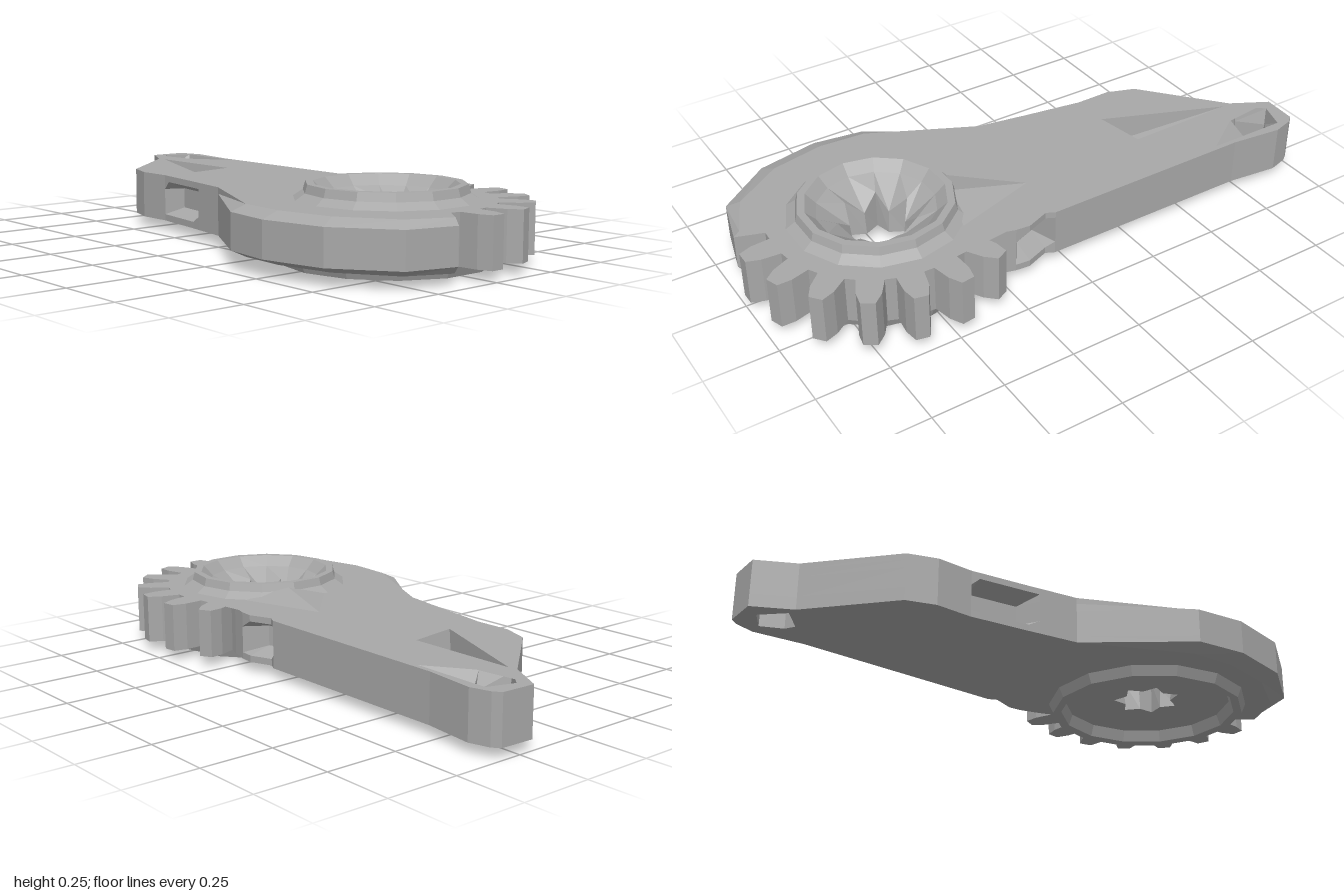
import * as THREE from 'three';

const HUB = [0.52, -0.01];
const LOW = 0.035, HIGH = 0.2;

// Flat facets: unshared vertices with one normal per face
function faceted(geo) {
  const g = geo.index ? geo.toNonIndexed() : geo;
  g.computeVertexNormals();
  return g;
}

// Triangles given as corner triples
function facets(corners) {
  const g = new THREE.BufferGeometry();
  g.setAttribute('position', new THREE.Float32BufferAttribute(corners.flat(), 3));
  return faceted(g);
}

// Closed wall through rings of [x, y, z], listed from low to high
function loft(rings) {
  const out = [];
  for (let k = 0; k + 1 < rings.length; k++) {
    const a = rings[k], b = rings[k + 1];
    a.forEach((p, i) => {
      const j = (i + 1) % a.length;
      out.push(p, b[i], a[j], a[j], b[i], b[j]);
    });
  }
  return facets(out);
}

// Horizontal face with holes, facing up or down
function cap(loop, holes, y, up) {
  const s = up ? -1 : 1;
  const pts = (l) => l.map((p) => new THREE.Vector2(p[0], s * p[1]));
  const shape = new THREE.Shape(pts(loop));
  holes.forEach((h) => shape.holes.push(new THREE.Path(pts(h))));
  const g = new THREE.ShapeGeometry(shape);
  g.rotateX(s * Math.PI / 2);
  g.translate(0, y, 0);
  return faceted(g);
}

const circle = (r, n = 16) => Array.from({ length: n }, (_, i) => {
  const a = (i / n) * Math.PI * 2;
  return [HUB[0] + r * Math.sin(a), HUB[1] + r * Math.cos(a)];
});
const at = (loop, y) => loop.map((p) => [p[0], y, p[1]]);

// Outline seen from above: [x, z, edge chamfer, side notch depth]
function outline() {
  const pts = [
    [-1, -0.2], [-0.995, -0.32], [-0.97, -0.34], [-0.9, -0.36], [-0.72, -0.34], [0.04, -0.34],
    [0.07, -0.325, 0, 0.08], [0.15, -0.355, 0, 0.08], [0.2, -0.35], [0.27, -0.33],
  ];
  // seven gear teeth
  for (let i = 0; i < 7; i++) {
    const mid = 117 - 19.5 * i;
    for (const [da, r] of [[7, 0.365], [5.3, 0.43], [2.8, 0.475], [-2.8, 0.475], [-5.3, 0.43], [-7, 0.365]]) {
      const a = THREE.MathUtils.degToRad(mid + da);
      pts.push([HUB[0] + r * Math.cos(a), HUB[1] - r * Math.sin(a)]);
    }
  }
  pts.push(
    [0.88, 0.07], [0.965, 0.13, 0.02], [0.92, 0.3, 0.05], [0.73, 0.44, 0.06], [0.51, 0.485, 0.06],
    [0.33, 0.46, 0.05], [-0.02, 0.235], [-0.16, 0.212], [-0.2, 0.205, 0, -0.07], [-0.38, 0.178, 0, -0.07],
    [-0.41, 0.173], [-0.54, 0.175], [-0.64, 0.14], [-0.87, -0.13],
  );
  return pts;
}

export function createModel() {
  const group = new THREE.Group();
  const metal = new THREE.MeshStandardMaterial({ color: 0xa8a8a8, side: THREE.DoubleSide });
  metal.name = 'grey metal';
  const add = (name, geo) => {
    const m = new THREE.Mesh(geo, metal);
    m.name = name;
    group.add(m);
    return m;
  };

  // Arm plate: chamfered edge rings and notched side rings
  const pts = outline();
  const edge = pts.map(([x, z, c = 0]) => {
    const dx = HUB[0] - x, dz = HUB[1] - z, d = Math.hypot(dx, dz);
    return [x + dx / d * c, z + dz / d * c];
  });
  const side = pts.map(([x, z]) => [x, z]);
  const notched = pts.map(([x, z, , n = 0]) => [x, z + n]);
  add('armSide', loft([
    at(edge, LOW), at(side, 0.058), at(notched, 0.08), at(notched, 0.15), at(side, 0.178), at(edge, HIGH),
  ]));

  const holeTop = [[-0.96, -0.23], [-0.93, -0.325], [-0.65, -0.322], [-0.8, -0.22], [-0.875, -0.155]];
  const holeLow = [[-0.95, -0.24], [-0.905, -0.31], [-0.83, -0.275], [-0.81, -0.24], [-0.875, -0.165]];
  const pocket = [[-0.84, -0.135], [-0.445, -0.14], [-0.415, 0.035]];
  add('armTop', cap(edge, [holeTop, pocket, circle(0.25)], HIGH, true));
  add('armUnderside', cap(edge, [holeLow, circle(0.33)], LOW, false));

  // Pin hole at the arm tip, flared upward
  const rev = (l) => [...l].reverse();
  add('tipHole', loft([at(rev(holeLow), LOW), at(rev(holeLow), 0.14), at(rev(holeTop), HIGH)]));

  // Wedge pocket: ramp floor, end wall and side walls
  const [t, b, f] = at(pocket, HIGH);
  const bd = [b[0] - 0.03, 0.1, b[2] + 0.02], fd = [f[0] - 0.03, 0.1, f[2] - 0.02];
  add('wedgePocket', facets([t, fd, bd, b, bd, fd, b, fd, f, t, bd, b, t, f, fd]));

  // Hub: recessed base disc, raised rim and bowl around the bore
  const profile = [
    [0.1, 0.05], [0.3, 0.045], [0.315, 0.005], [0.345, 0], [0.36, LOW], [0.36, 0.06], [0.3, 0.1], [0.3, 0.2],
    [0.268, 0.222], [0.26, 0.25], [0.235, 0.25], [0.2, 0.215], [0.11, 0.16], [0.1, 0.05],
  ].map((p) => new THREE.Vector2(...p));
  const SEG = 14;
  const hub = new THREE.LatheGeometry(profile, SEG);
  const pos = hub.attributes.position;
  const rows = profile.length;
  for (let i = 0; i < pos.count; i++) {
    const x = pos.getX(i), z = pos.getZ(i), spoke = Math.floor(i / rows) % SEG;
    if (Math.hypot(x, z) < 0.13) {
      // rough-cut bore
      const k = spoke % 2 ? 1.2 : 0.85;
      pos.setX(i, x * k);
      pos.setZ(i, z * k);
      if (pos.getY(i) > 0.1) pos.setY(i, spoke % 2 ? 0.18 : 0.13);
    }
  }
  add('hub', faceted(hub)).position.set(0.525, 0, -0.015);

  // Low ridge running from the arm up to the hub rim
  const tip = [0.03, HIGH, -0.15], crest = [0.29, 0.235, -0.09];
  add('hubRidge', facets([tip, crest, [0.33, HIGH, -0.24], tip, [0.27, HIGH, 0.07], crest]));

  return group;
}
